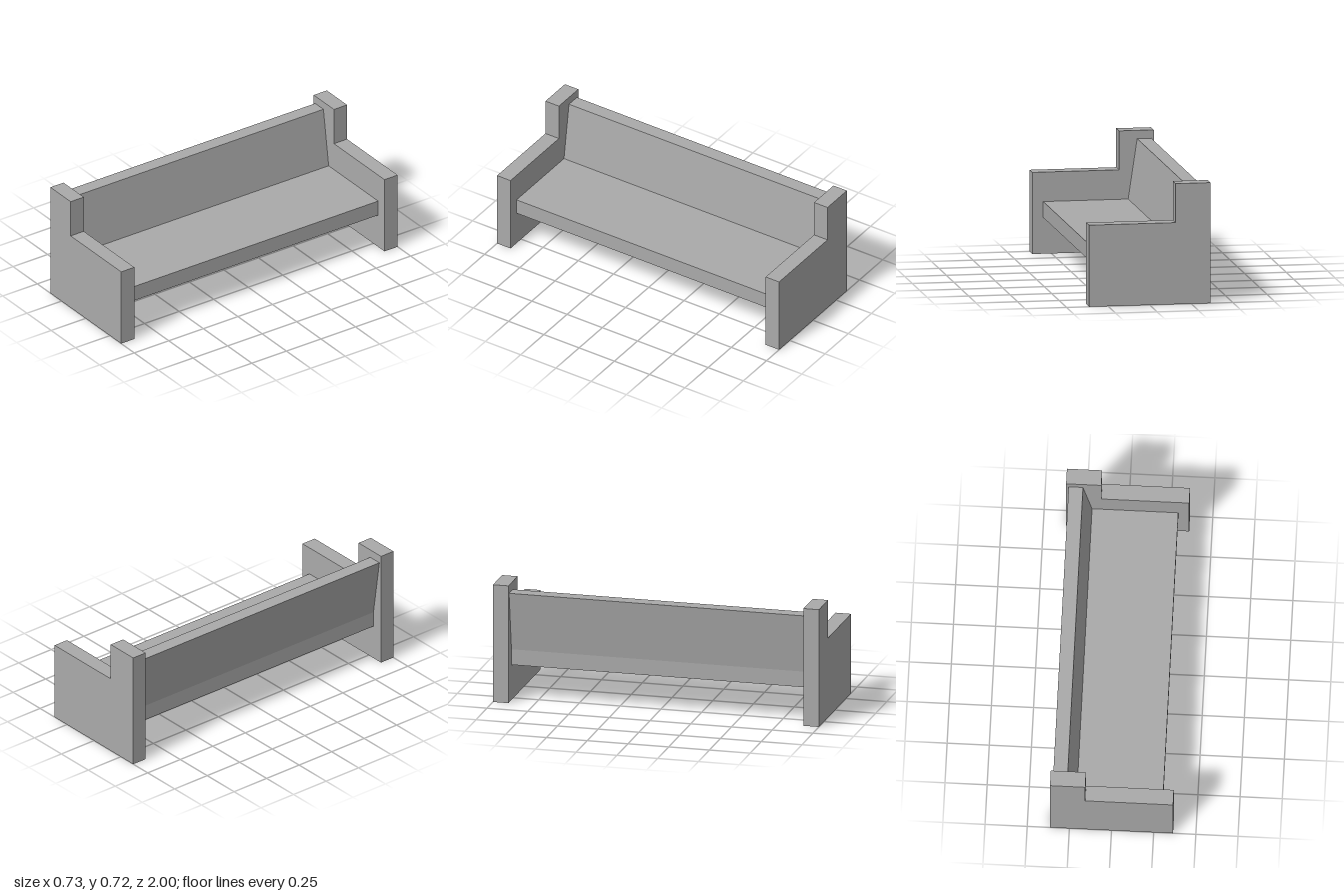
import * as THREE from 'three';

// Extrude an x/y outline along z between two planes
function slab(name, points, z0, z1, material) {
  const shape = new THREE.Shape(points.map(([x, y]) => new THREE.Vector2(x, y)));
  const geometry = new THREE.ExtrudeGeometry(shape, { depth: z1 - z0, bevelEnabled: false });
  geometry.translate(0, 0, z0);
  const mesh = new THREE.Mesh(geometry, material);
  mesh.name = name;
  return mesh;
}

export function createModel() {
  const group = new THREE.Group();
  group.name = 'bench';
  const grey = new THREE.MeshStandardMaterial({ color: 0xaaaaaa });
  grey.name = 'plain grey';

  const inner = 0.905; // inside face of the end panels

  // Stepped end panels, tall at the back
  const panel = [
    [-0.365, 0], [0.365, 0], [0.365, 0.49],
    [-0.156, 0.49], [-0.156, 0.724], [-0.365, 0.724],
  ];
  group.add(slab('leftEndPanel', panel, inner, 1, grey));
  group.add(slab('rightEndPanel', panel, -1, -inner, grey));

  // Flat seat board
  const seat = [[-0.295, 0.217], [0.3, 0.217], [0.3, 0.313], [-0.295, 0.313]];
  group.add(slab('seat', seat, -inner, inner, grey));

  // Backrest leaning outwards from the seat
  const back = [[-0.295, 0.313], [-0.211, 0.313], [-0.265, 0.674], [-0.35, 0.674]];
  group.add(slab('backrest', back, -inner, inner, grey));

  return group;
}
